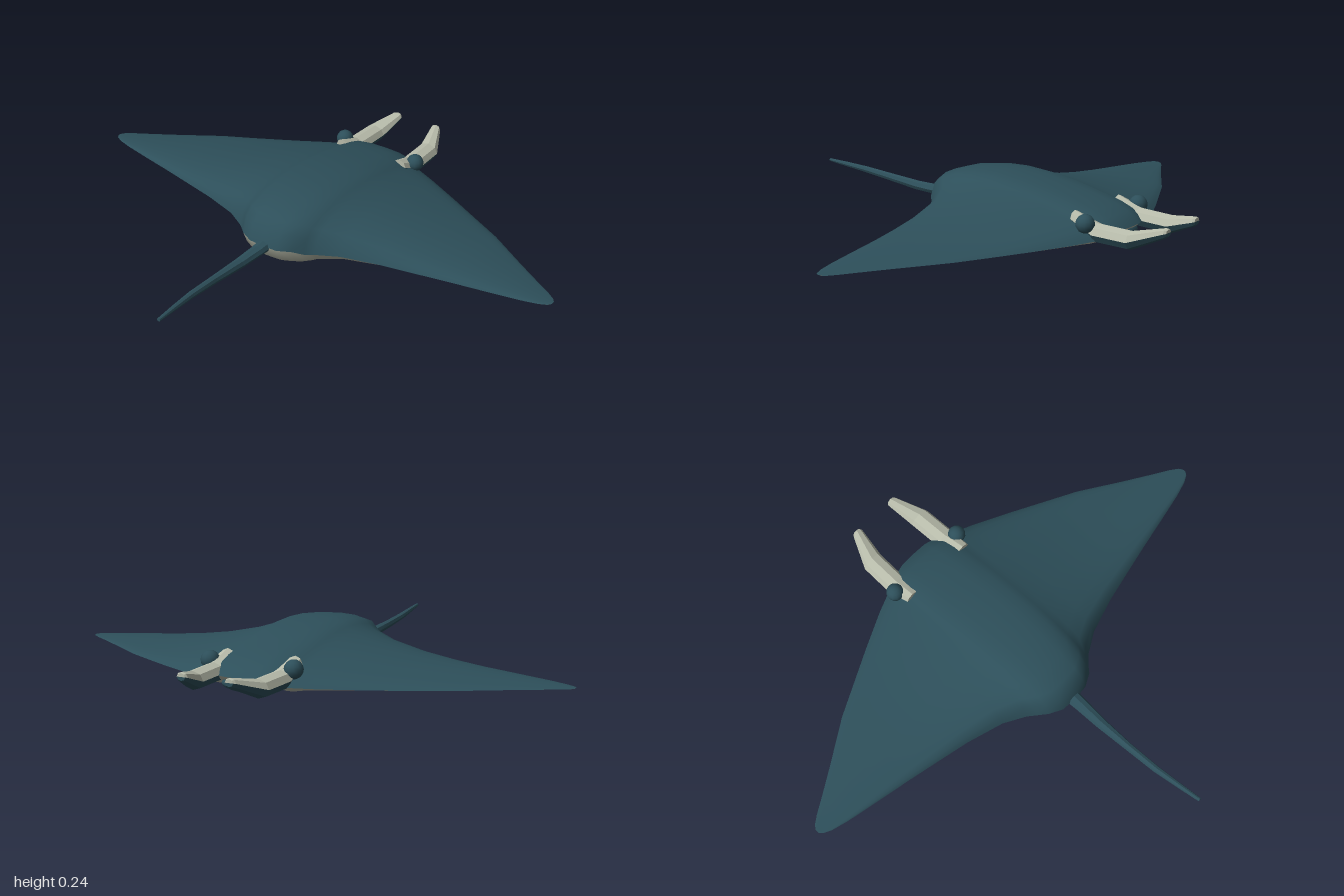
import * as THREE from 'three';

// Skin a grid of points; outward side is (along row) x (row to row).
function skin(rows, { flip = false, flat = false } = {}) {
  const n = rows[0].length, index = [];
  for (let i = 0; i < rows.length - 1; i++) {
    for (let j = 0; j < n - 1; j++) {
      const a = i * n + j, b = a + 1, c = a + n, d = c + 1;
      if (flip) index.push(a, c, b, b, c, d);
      else index.push(a, b, c, b, d, c);
    }
  }
  let geo = new THREE.BufferGeometry();
  geo.setAttribute('position', new THREE.Float32BufferAttribute(rows.flat(2), 3));
  geo.setIndex(index);
  if (flat) geo = geo.toNonIndexed();
  geo.computeVertexNormals();
  return geo;
}

// Elliptical arc sections [x, y, z, halfWidth, halfHeight], closed at both ends.
function arcs(sections, start, sweep, sides) {
  const first = sections[0], last = sections[sections.length - 1];
  const all = [[...first.slice(0, 3), 0, 0], ...sections, [...last.slice(0, 3), 0, 0]];
  return all.map(([x, y, z, w, h]) => Array.from({ length: sides + 1 }, (_, k) => {
    const t = start + sweep * k / sides;
    return [x + w * Math.cos(t), y + h * Math.sin(t), z];
  }));
}

// Wing stations: x, leading z, trailing z, rim y, top y, bottom y
const STATIONS = [
  [0, -0.62, 0.23, 0.112, 0.243, 0.002],
  [0.06, -0.618, 0.226, 0.112, 0.24, 0.004],
  [0.11, -0.605, 0.2, 0.112, 0.234, 0.008],
  [0.14, -0.595, 0.168, 0.095, 0.22, 0.018],
  [0.17, -0.583, 0.142, 0.092, 0.206, 0.033],
  [0.25, -0.55, 0.096, 0.09, 0.181, 0.052],
  [0.39, -0.482, 0.053, 0.088, 0.15, 0.067],
  [0.52, -0.415, 0.024, 0.087, 0.13, 0.074],
  [0.64, -0.353, -0.002, 0.087, 0.117, 0.079],
  [0.8, -0.25, -0.034, 0.087, 0.104, 0.082],
  [0.9, -0.188, -0.055, 0.087, 0.096, 0.083],
  [0.96, -0.152, -0.072, 0.087, 0.091, 0.084],
  [0.99, -0.13, -0.087, 0.087, 0.089, 0.085],
  [1.0, -0.115, -0.1, 0.087, 0.088, 0.086],
];
// Thickness along the chord from leading to trailing rim
const CHORD = [[0, 0], [0.025, 0.16], [0.06, 0.3], [0.12, 0.45], [0.2, 0.58], [0.29, 0.71],
  [0.376, 0.82], [0.49, 0.93], [0.635, 1], [0.75, 0.97], [0.85, 0.87], [0.93, 0.7], [0.975, 0.46], [1, 0]];

function bodyRows(heightColumn) {
  const mirrored = STATIONS.slice(1).reverse().map(([x, ...rest]) => [-x, ...rest]);
  return [...mirrored, ...STATIONS].map((s) => CHORD.map(([t, f]) => [
    s[0], s[3] + (s[heightColumn] - s[3]) * f, s[1] + (s[2] - s[1]) * t,
  ]));
}

export function createModel() {
  const teal = new THREE.MeshStandardMaterial({ color: 0x2d4f5a });
  teal.name = 'deep teal';
  const cream = new THREE.MeshStandardMaterial({ color: 0xb8bcab });
  cream.name = 'pale cream';

  const model = new THREE.Group();
  model.name = 'ray';
  const add = (name, geometry, material) => {
    const mesh = new THREE.Mesh(geometry, material);
    mesh.name = name;
    model.add(mesh);
    return mesh;
  };

  // Winged body: dark back and pale belly meeting at the rim
  add('back', skin(bodyRows(4)), teal);
  add('belly', skin(bodyRows(5), { flip: true }), cream);

  // Whip tail, tapering and rising
  const tail = [
    [0, 0.11, 0.18, 0.032, 0.025], [0, 0.107, 0.26, 0.026, 0.02],
    [-0.003, 0.107, 0.36, 0.021, 0.019], [-0.003, 0.118, 0.5, 0.015, 0.016],
    [0, 0.13, 0.63, 0.013, 0.013], [0.009, 0.139, 0.73, 0.01, 0.01],
    [0.018, 0.147, 0.82, 0.007, 0.006],
  ];
  add('tail', skin(arcs(tail, 0, Math.PI * 2, 8), { flat: true }), teal);

  // Mouth between the head fins
  const mouth = add('mouth', new THREE.SphereGeometry(1, 16, 10), teal);
  mouth.scale.set(0.095, 0.026, 0.03);
  mouth.position.set(0, 0.084, -0.585);

  for (const side of [1, -1]) {
    const label = side > 0 ? 'left' : 'right';
    // Head fin: pale upper half, dark lower half
    const fin = [
      [0.135, 0.153, -0.48, 0.028, 0.027], [0.132, 0.114, -0.575, 0.042, 0.034],
      [0.128, 0.111, -0.71, 0.042, 0.033], [0.093, 0.148, -0.822, 0.022, 0.018],
      [0.092, 0.15, -0.83, 0.016, 0.013],
    ].map(([x, ...rest]) => [side * x, ...rest]);
    const options = { flip: true, flat: true };
    add(label + 'HeadFinTop', skin(arcs(fin, 0, Math.PI, 4), options), cream);
    add(label + 'HeadFinUnderside', skin(arcs(fin, Math.PI, Math.PI, 4), options), teal);

    // Eye
    const eye = add(label + 'Eye', new THREE.SphereGeometry(0.034, 12, 8), teal);
    eye.position.set(side * 0.166, 0.148, -0.545);
  }
  return model;
}
